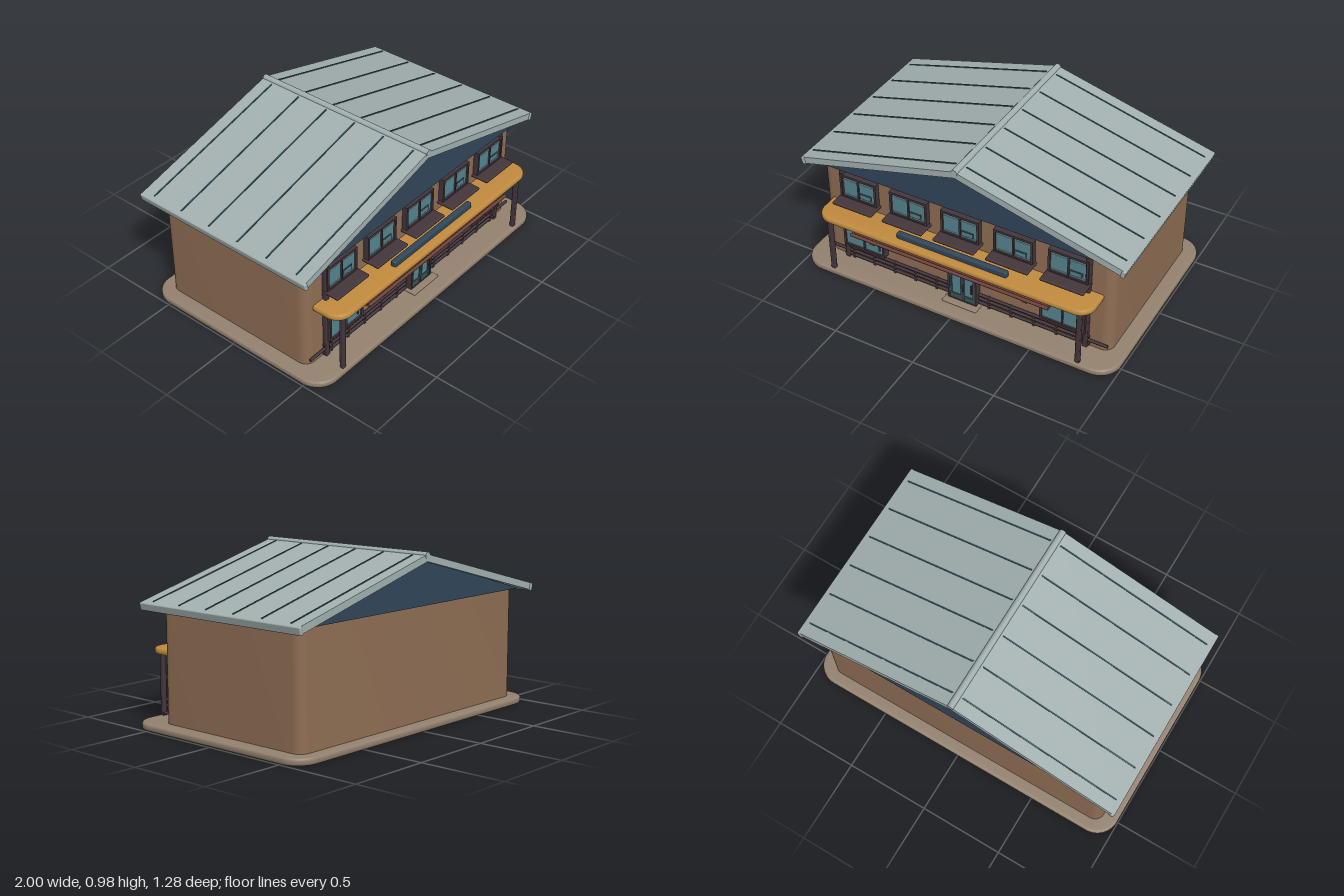
import * as THREE from 'three';
import { toCreasedNormals } from 'three/addons/utils/BufferGeometryUtils.js';
import { RoundedBoxGeometry } from 'three/addons/geometries/RoundedBoxGeometry.js';

const material = (name, color) => {
  const m = new THREE.MeshStandardMaterial({ color });
  m.name = name;
  return m;
};

export function createModel() {
  const house = new THREE.Group();
  house.name = 'house';

  const wallBrown = material('wallBrown', 0x8f6e54);
  const roofGrey = material('roofGrey', 0xa3b0b0);
  const stone = material('stone', 0x93816e);
  const navy = material('navy', 0x31465a);
  const ochre = material('ochre', 0xc08a3e);
  const glass = material('glass', 0x55858f);
  const darkWood = material('darkWood', 0x44363c);
  const redWood = material('redWood', 0x6f4238);
  const darkTeal = material('darkTeal', 0x36555d);
  const paleTeal = material('paleTeal', 0x93b8bc);

  const add = (name, geometry, mat, x = 0, y = 0, z = 0, parent = house) => {
    const mesh = new THREE.Mesh(geometry, mat);
    mesh.name = name;
    mesh.position.set(x, y, z);
    parent.add(mesh);
    return mesh;
  };
  const box = (name, mat, w, h, d, x, y, z, parent) =>
    add(name, new THREE.BoxGeometry(w, h, d), mat, x, y, z, parent);

  // Horizontal slab with rounded plan corners and an optional bevelled rim
  const slab = (name, mat, hx, z0, z1, y0, y1, r, bevel) => {
    const x = hx - bevel, a = -z1 + bevel, b = -z0 - bevel;
    const s = new THREE.Shape();
    s.moveTo(-x + r, a);
    s.lineTo(x - r, a);
    s.absarc(x - r, a + r, r, -Math.PI / 2, 0);
    s.lineTo(x, b - r);
    s.absarc(x - r, b - r, r, 0, Math.PI / 2);
    s.lineTo(-x + r, b);
    s.absarc(-x + r, b - r, r, Math.PI / 2, Math.PI);
    s.lineTo(-x, a + r);
    s.absarc(-x + r, a + r, r, Math.PI, Math.PI * 1.5);
    const g = new THREE.ExtrudeGeometry(s, {
      depth: y1 - y0 - 2 * bevel, curveSegments: 8, bevelEnabled: bevel > 0,
      bevelSize: bevel, bevelThickness: bevel, bevelSegments: 3,
    });
    g.rotateX(-Math.PI / 2);
    return add(name, toCreasedNormals(g, 0.7), mat, 0, y0 + bevel, 0);
  };

  // Profile in x and y, extruded along z
  const prism = (name, mat, points, z0, z1) => {
    const s = new THREE.Shape(points.map(([x, y]) => new THREE.Vector2(x, y)));
    return add(name, new THREE.ExtrudeGeometry(s, { depth: z1 - z0, bevelEnabled: false }), mat, 0, 0, z0);
  };

  // Main masses
  slab('foundation', stone, 0.995, -0.635, 0.62, 0, 0.04, 0.12, 0.012);
  slab('walls', wallBrown, 0.91, -0.565, 0.455, 0.03, 0.686, 0.06, 0);
  prism('gable', navy, [[-0.885, 0.688], [0.885, 0.688], [0, 0.935]], -0.615, 0.505);

  // Roof with eave boards, ridge cap and standing seams
  const roofBack = -0.638, roofFront = 0.528;
  const roofMid = (roofBack + roofFront) / 2, roofLength = roofFront - roofBack;
  prism('roof', roofGrey, [[-0.985, 0.667], [0, 0.928], [0.985, 0.667],
    [0.985, 0.709], [0, 0.968], [-0.985, 0.709]], roofBack, roofFront);
  const pitch = Math.atan2(0.259, 0.985);
  for (const side of [-1, 1]) {
    const eave = add('eaveBoard', new RoundedBoxGeometry(0.024, 0.046, roofLength + 0.01, 2, 0.007),
      roofGrey, side * 0.984, 0.686, roofMid);
    eave.rotation.z = -side * pitch;
    for (let i = 0; i < 6; i++) {
      const seam = box('roofSeam', darkTeal, 0.97, 0.008, 0.008,
        side * 0.5, 0.8365, 0.45 - i * 0.202);
      seam.rotation.z = -side * pitch;
    }
  }
  const ridge = add('ridgeCap', new THREE.CylinderGeometry(0.02, 0.02, roofLength + 0.004, 12), roofGrey, 0, 0.96, roofMid);
  ridge.rotation.x = Math.PI / 2;

  // Framed two-pane window standing out from the wall
  const makeWindow = (name, x, y, w, h, depth) => {
    const g = new THREE.Group();
    g.name = name;
    g.position.set(x, y, 0.455);
    house.add(g);
    const t = 0.013;
    box('pane', glass, w - t, h - t, 0.02, 0, 0, depth - 0.02, g);
    for (const s of [-1, 1]) {
      box('frameSide', darkWood, t, h, depth, s * (w - t) / 2, 0, depth / 2, g);
      box('frameRail', darkWood, w, t, depth, 0, s * (h - t) / 2, depth / 2, g);
    }
    box('mullion', darkWood, 0.01, h - t, depth, 0, 0, depth / 2 - 0.002, g);
    box('paneHighlight', paleTeal, w - 3 * t, 0.004, 0.004, 0, h / 2 - 0.036, depth - 0.009, g);
    return g;
  };

  // Upper windows with projecting sills
  for (let i = -2; i <= 2; i++) {
    const x = i * 0.328;
    const g = makeWindow('upperWindow', x, 0.565, 0.238, 0.155, 0.033);
    box('windowLatch', darkTeal, 0.075, 0.034, 0.004, 0.045, -0.034, 0.025, g);
    box('latchFace', glass, 0.062, 0.022, 0.004, 0.045, -0.034, 0.026, g);
    box('lowerHighlight', paleTeal, 0.2, 0.003, 0.004, 0, -0.055, 0.024, g);
    add('windowSill', new RoundedBoxGeometry(0.258, 0.018, 0.112, 2, 0.007), darkWood, x, 0.483, 0.506);
  }

  // Lower windows
  for (const side of [-1, 1]) {
    const g = makeWindow('lowerWindow', side * 0.635, 0.248, 0.272, 0.206, 0.043);
    box('windowHandle', darkTeal, 0.01, 0.045, 0.006, 0.1, -0.045, 0.036, g);
  }

  // Double door and doorstep
  const door = makeWindow('door', 0.014, 0.2, 0.182, 0.32, 0.046);
  box('kickPanel', darkTeal, 0.158, 0.036, 0.01, 0, -0.13, 0.036, door);
  for (const s of [-1, 1]) {
    box('doorStile', darkTeal, 0.012, 0.295, 0.008, s * 0.073, 0, 0.038, door);
    box('meetingStile', darkTeal, 0.008, 0.295, 0.008, s * 0.008, 0, 0.038, door);
  }
  box('doorHandle', darkWood, 0.008, 0.06, 0.012, 0.062, -0.04, 0.046, door);
  add('doorstep', new RoundedBoxGeometry(0.22, 0.016, 0.1, 2, 0.006), stone, 0.014, 0.042, 0.49);

  // Canopy, sign board and slatted pergola below
  slab('canopy', ochre, 0.855, 0.3, 0.637, 0.395, 0.432, 0.08, 0.013);
  add('signBoard', new RoundedBoxGeometry(0.69, 0.055, 0.034, 2, 0.01), navy, 0, 0.438, 0.573);
  for (let i = 0; i < 8; i++) {
    const slat = add('pergolaSlat', new THREE.CylinderGeometry(0.01, 0.01, 1.24, 8), redWood, 0, 0.373, 0.488 + i * 0.0205);
    slat.rotation.z = Math.PI / 2;
  }
  for (const x of [-0.48, 0.48]) box('pergolaBeam', redWood, 0.03, 0.012, 0.18, x, 0.36, 0.545);

  // Canopy posts, wall posts and low railings
  for (const side of [-1, 1]) {
    add('canopyPost', new RoundedBoxGeometry(0.028, 0.365, 0.026, 2, 0.006), darkWood, side * 0.785, 0.219, 0.595);
    add('wallPost', new RoundedBoxGeometry(0.028, 0.65, 0.03, 2, 0.006), darkWood, side * 0.768, 0.363, 0.466);
    [[0.115, 0.09, 0.79], [0.088, 0.09, 0.9], [0.058, 0.09, 0.79]].forEach(([y, x0, x1]) => {
      const rail = add('railing', new THREE.CylinderGeometry(0.009, 0.009, x1 - x0, 8), darkWood,
        side * (x0 + x1) / 2, y, 0.467);
      rail.rotation.z = Math.PI / 2;
    });
    for (let i = 0; i < 5; i++)
      box('railingBaluster', darkWood, 0.014, 0.085, 0.014, side * (0.17 + i * 0.14), 0.08, 0.465);
  }
  return house;
}
